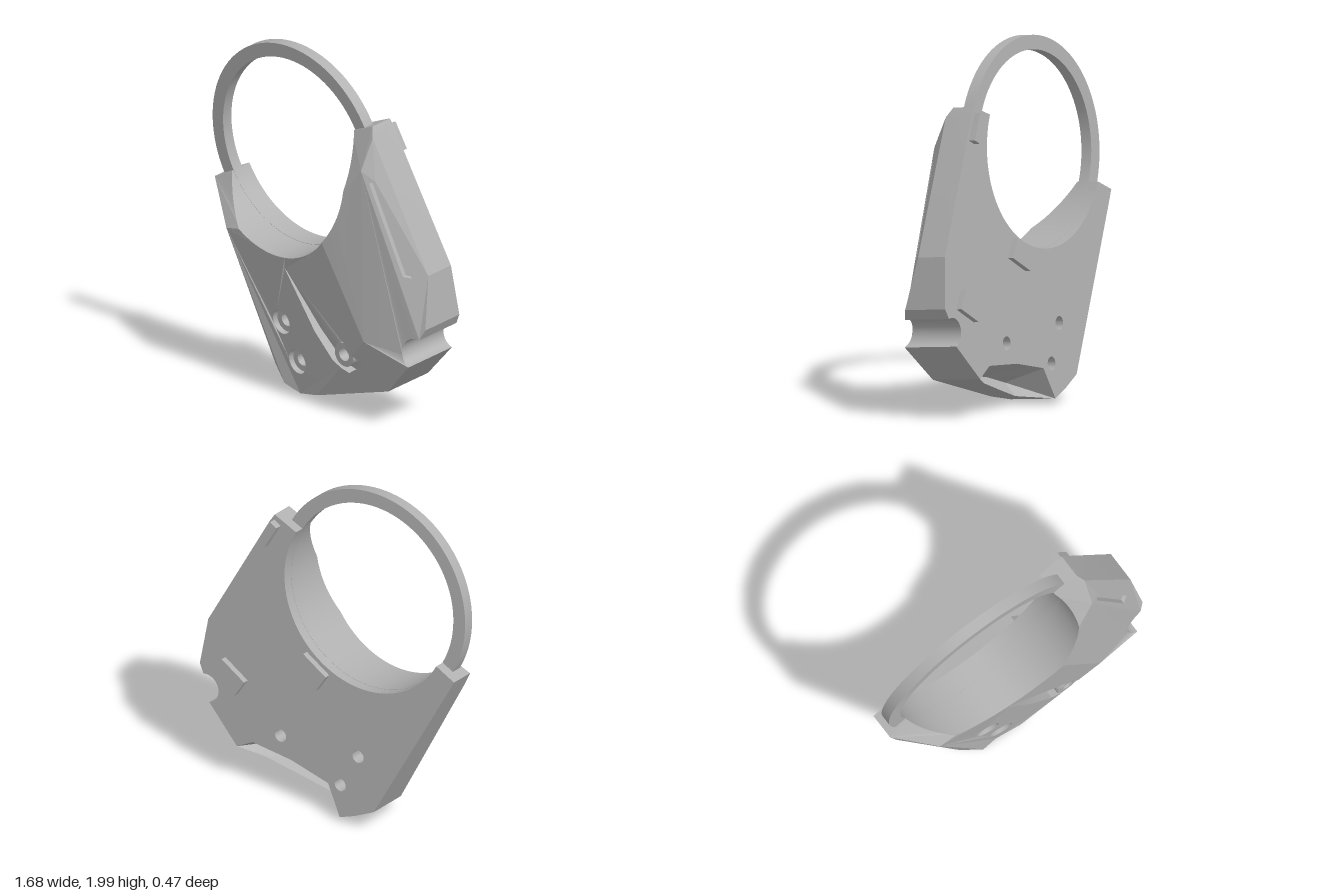
import * as THREE from 'three';
import { mergeGeometries, toCreasedNormals } from 'three/addons/utils/BufferGeometryUtils.js';

const V = (x, y, z) => new THREE.Vector3(x, y, z);
const TILT = 0.097;                      // the plate leans back by this angle
const CX = -0.22, CY = 1.395, R = 0.5425; // big round opening

// Point on the opening's rim at an angle in degrees
const rim = (deg, z) => {
  const a = deg * Math.PI / 180;
  return V(CX + R * Math.cos(a), CY + R * Math.sin(a), z);
};
// Points along a circular arc, end points included, height blended
function arc(cx, cy, r, a0, a1, z0, z1, n) {
  return Array.from({ length: n + 1 }, (_, i) => {
    const t = i / n, a = (a0 + (a1 - a0) * t) * Math.PI / 180;
    return V(cx + r * Math.cos(a), cy + r * Math.sin(a), z0 + (z1 - z0) * t);
  });
}
const rimArc = (a0, a1, z0, z1) => arc(CX, CY, R, a0, a1, z0, z1, Math.max(6, Math.round((a1 - a0) / 4)));
const atHeight = (loop, z) => loop.map(p => V(p.x, p.y, z));

// Height of the plane through a, b, c at a given x, y
function onPlane(a, b, c) {
  const n = b.clone().sub(a).cross(c.clone().sub(a));
  return (x, y) => V(x, y, a.z - (n.x * (x - a.x) + n.y * (y - a.y)) / n.z);
}
function fromTriangles(tris) {
  const g = new THREE.BufferGeometry();
  g.setAttribute('position', new THREE.Float32BufferAttribute(tris.flatMap(p => [p.x, p.y, p.z]), 3));
  return g;
}
// Flat facet with holes, facing front (+1) or back (-1)
function facet(loop, holes = [], facing = 1) {
  const all = [loop, ...holes].flat(), out = [];
  const flat = l => l.map(p => new THREE.Vector2(p.x, p.y));
  for (const [i, j, k] of THREE.ShapeUtils.triangulateShape(flat(loop), holes.map(flat))) {
    const a = all[i], b = all[j], c = all[k];
    const area = (b.x - a.x) * (c.y - a.y) - (b.y - a.y) * (c.x - a.x);
    out.push(...(area * facing > 0 ? [a, b, c] : [a, c, b]));
  }
  return fromTriangles(out);
}
// Wall between two matching rows (clockwise for outsides, anticlockwise for holes)
function wall(top, low, closed = true) {
  const out = [], n = top.length;
  for (let i = 0; i < (closed ? n : n - 1); i++) {
    const j = (i + 1) % n;
    out.push(top[i], top[j], low[j], top[i], low[j], low[i]);
  }
  return fromTriangles(out);
}

export function createModel() {
  const grey = new THREE.MeshStandardMaterial({ color: 0xb0b0b0 });
  grey.name = 'grey';
  const plate = new THREE.Group();
  const add = (name, parts, crease = 0.25) => {
    const m = new THREE.Mesh(toCreasedNormals(mergeGeometries(parts), crease), grey);
    m.name = name;
    plate.add(m);
    return m;
  };

  // Corners of the faceted front, in the plate's own frame (back face at z = 0)
  const P = rim(-121, 0.32), A = rim(-41, 0.371);
  const B = V(0.47, 0.527, 0.382), D = V(0.43, 1.486, 0.268), E = V(0.44, 1.65, 0.17);
  const F = V(0.8, 0.927, 0.177), G = V(0.837, 0.645, 0.265), H = V(0.76, 0.432, 0.341);
  const I = V(0.56, 0.23, 0.311), J = V(0.01, 0.072, 0.318), K = V(-0.14, 0.038, 0.295), L = V(-0.24, 0.08, 0.312);
  const M = V(-0.36, 0.145, 0.253), N = V(-0.79, 1.016, 0.168), O = V(-0.6, 0.91, 0.315);
  const Q = V(-0.83, 1.1, 0.15), T = V(0.41, 1.7, 0.135);
  const lugArcL = rimArc(-154, -121, 0.135, 0.32), arcL = rimArc(-121, -41, P.z, A.z);
  const arcR = rimArc(-41, -4, A.z, 0.306), lugArcR = rimArc(-4, 27, 0.306, 0.135);
  const notch = [...arc(0.785, 0.51, 0.082, 73, 251, 0.29, 0.341, 16), H];
  const m1 = I.clone().lerp(J, 0.25), m2 = I.clone().lerp(J, 0.65);

  // Screw holes
  const circle = (x, y, r, z) => arc(x, y, r, 0, 360, z, z, 28).slice(0, -1);
  const front = onPlane(A, B, J), lower = onPlane(B, J, H), side = onPlane(D, F, notch[0]);
  const screws = [[-0.235, 0.44], [-0.13, 0.232], [0.28, 0.392]];
  const bores = screws.slice(0, 2).map(([x, y]) => circle(x, y, 0.07, 0).map(p => front(p.x, p.y)));

  // Wedge-shaped recess that runs over the lower crease
  const c1 = J.clone().lerp(B, 0.515), c2 = J.clone().lerp(B, 0.735);
  const recLeft = [front(0.32, 0.415), front(0.3, 0.465), front(-0.16, 0.785), front(0.05, 0.465), front(0.18, 0.335)];
  const recLow = [lower(0.3, 0.285), lower(0.41, 0.355), lower(0.38, 0.393)];
  const recess = [...recLeft.slice(2), c1, ...recLow, c2, recLeft[0], recLeft[1]];
  const depth = [0.004, 0.05, 0.06, 0.06, 0.06, 0.05, 0.04, 0.03, 0.02, 0.006];
  const recFloor = recess.map((p, i) => V(p.x, p.y, p.z - depth[i]));

  // Slot in the side bevel
  const slot = [side(0.475, 1.42), side(0.69, 0.925), side(0.73, 0.915), side(0.5, 1.43)];
  const slotFloor = slot.map(p => V(p.x, p.y, p.z - 0.025));

  add('frontFacets', [
    facet([...arcL, B, c2, ...recLeft, c1, J, K, L, O], bores),
    facet([...arcR, D, ...notch, B]),
    facet([B, H, I, J, c1, ...recLow, c2]),
    facet([E, F, G, notch[0], D], [slot]),
    facet([N, O, L, M]),
    facet([...lugArcL, O, N, Q]),
    facet([...lugArcR, T, E, D]),
  ], 0.06);
  add('wedgeRecess', [
    wall(recess, recFloor),
    facet(recFloor, [circle(0.28, 0.392, 0.037, 0).map(p => V(p.x, p.y, lower(p.x, p.y).z - 0.04))]),
  ]);
  add('sideSlot', [wall(slot, slotFloor), facet(slotFloor)]);

  // Side walls, with a hollow scooped out behind the bottom edge
  const outline = [T, E, F, G, ...notch, I, m1, m2, J, K, L, M, N, Q,
    ...lugArcL, ...arcL.slice(1), ...arcR.slice(1), ...lugArcR.slice(1)];
  const lipZ = new Map([[m1, 0.07], [m2, 0.12], [J, 0.16]]);
  const cutXY = new Map([[m1, V(0.46, 0.29, 0)], [m2, V(0.2, 0.27, 0)], [J, V(-0.05, 0.215, 0)]]);
  const lip = p => V(p.x, p.y, lipZ.get(p) ?? 0);
  const cut = p => cutXY.get(p) ?? V(p.x, p.y, 0);
  const deep = p => lip(p).lerp(cut(p), 0.5).setZ(lipZ.has(p) ? lipZ.get(p) + 0.08 : 0);
  add('sideWalls', [wall(outline, outline.map(lip))], 0.3);
  const edge = [I, m1, m2, J, K];
  add('bottomHollow', [
    wall(edge.map(lip), edge.map(deep), false),
    wall(edge.map(deep), edge.map(cut), false),
  ]);
  add('backFace', [facet(outline.map(cut), screws.map(([x, y]) => circle(x, y, 0.037, 0)), -1)]);

  // Counterbored screw holes
  bores.forEach((bore, i) => {
    const [x, y] = screws[i], z = front(x, y).z - 0.04;
    const inner = circle(x, y, 0.037, z);
    add('screwHole', [
      wall(bore, atHeight(bore, z)),
      facet(atHeight(bore, z), [inner]),
      wall(inner, atHeight(inner, 0)),
    ], 0.5);
  });
  // Raised screw boss standing in the recess
  const bossOut = circle(0.28, 0.392, 0.07, 0.352), bossIn = circle(0.28, 0.392, 0.037, 0.352);
  add('screwBoss', [
    facet(bossOut, [bossIn]),
    wall([...bossOut].reverse(), atHeight([...bossOut].reverse(), 0.25)),
    wall(bossIn, atHeight(bossIn, 0)),
  ], 0.5);

  // Thin ring closing the opening
  const profile = [[0.541, 0.06], [0.62, 0.06], [0.62, 0.125], [0.541, 0.125], [0.541, 0.06]];
  const ring = new THREE.LatheGeometry(profile.map(p => new THREE.Vector2(...p)), 96);
  ring.rotateX(Math.PI / 2).translate(CX, CY, 0);
  add('ring', [ring], 0.5);

  // Raised pads and the edge tab on the back
  const block = (name, x, y, w, h, d, turn) => {
    const m = new THREE.Mesh(new THREE.BoxGeometry(w, h, d), grey);
    m.name = name;
    m.position.set(x, y, 0.01 - d / 2);
    m.rotation.z = turn;
    plate.add(m);
  };
  block('backPad', 0.095, 0.855, 0.18, 0.12, 0.045, Math.PI / 6);
  block('backPad', 0.625, 0.64, 0.18, 0.12, 0.045, Math.PI / 6);
  block('edgeTab', 0.425, 1.585, 0.05, 0.16, 0.05, 0.47);

  // Lean the whole plate
  plate.name = 'leaningPlate';
  plate.rotation.x = TILT;
  plate.position.z = -0.235;
  const model = new THREE.Group();
  model.name = 'ringPlate';
  model.add(plate);
  return model;
}
